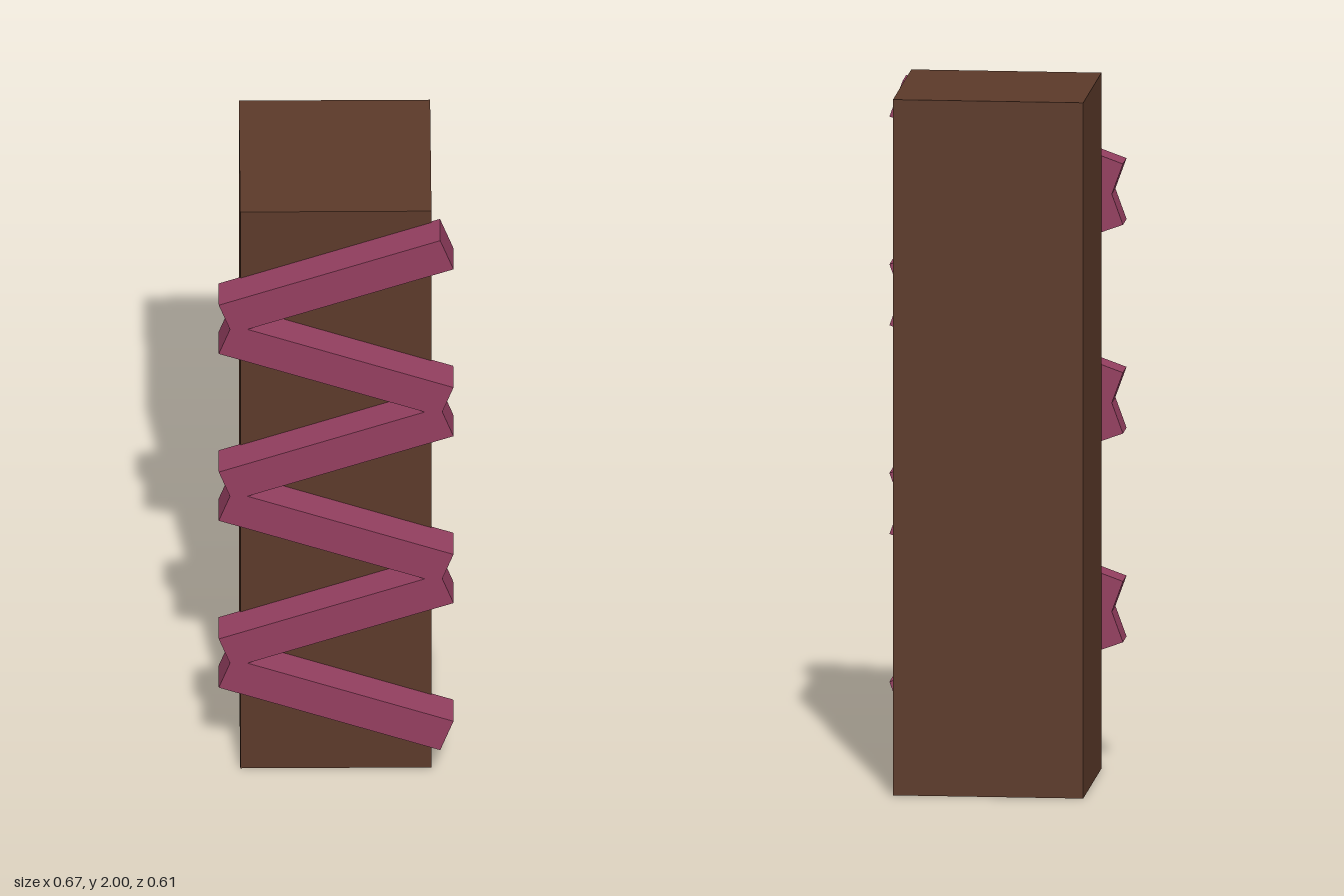
import * as THREE from 'three';

export function createModel() {
  const model = new THREE.Group();
  const brown = new THREE.MeshStandardMaterial({ color: 0x5c3a2a, flatShading: true });
  const rose = new THREE.MeshStandardMaterial({ color: 0x943f60, flatShading: true });

  // Square upright post
  const post = new THREE.Mesh(new THREE.BoxGeometry(0.542, 2, 0.513), brown);
  post.name = 'post';
  post.position.set(0, 1, -0.0475);
  model.add(post);

  // Zigzag of six slanted bars across the front face
  const zigzag = new THREE.Group();
  zigzag.name = 'zigzag';
  const barGeometry = new THREE.BoxGeometry(0.668, 0.11, 0.1);
  const tilt = THREE.MathUtils.degToRad(20);
  for (let i = 0; i < 6; i++) {
    const bar = new THREE.Mesh(barGeometry, rose);
    bar.name = `zigzagBar${i + 1}`;
    bar.position.set(0, 0.302 + i * 0.3, 0.254);
    bar.rotation.z = i % 2 ? tilt : -tilt;
    zigzag.add(bar);
  }
  model.add(zigzag);

  return model;
}
